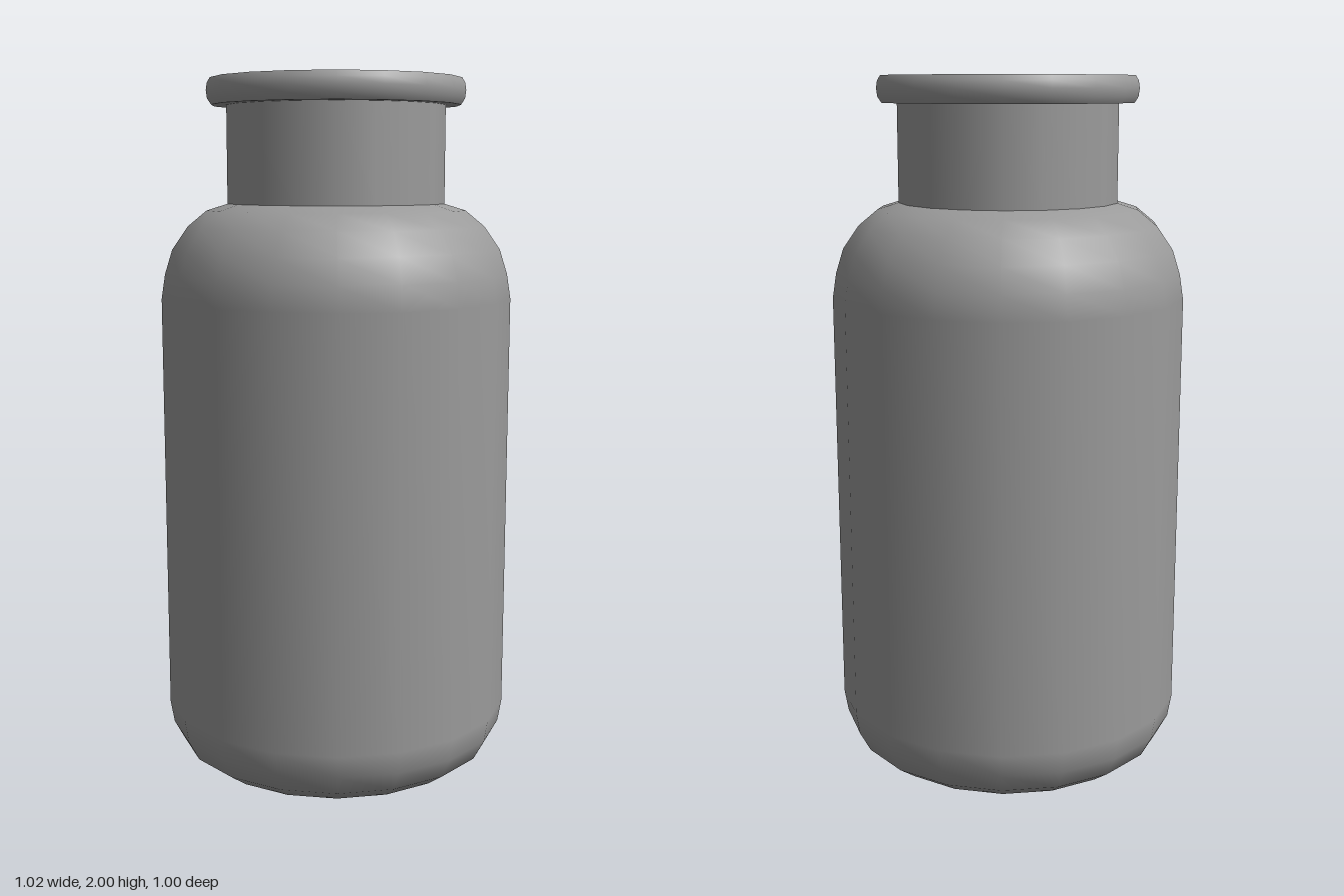
import * as THREE from 'three';

const SIDES = 18;

export function createModel() {
  const model = new THREE.Group();
  model.name = 'bottle';
  const material = new THREE.MeshStandardMaterial({ color: 0x9b9b9b });

  // Each part is one smooth [radius, height] profile; hard edges fall between parts.
  function turned(name, profile) {
    const points = profile.map(([r, y]) => new THREE.Vector2(r, y));
    const mesh = new THREE.Mesh(new THREE.LatheGeometry(points, SIDES, Math.PI / 2), material);
    mesh.name = name;
    model.add(mesh);
  }

  // Outside: base, straight wall and rounded shoulder
  turned('body', [
    [0, 0], [0.41, 0], [0.465, 0.04], [0.497, 0.1], [0.508, 0.165],
    [0.508, 1.38], [0.497, 1.45], [0.475, 1.52], [0.43, 1.585], [0.375, 1.63], [0.31, 1.65],
  ]);
  turned('neck', [[0.315, 1.645], [0.315, 1.925]]);

  // Rolled lip around the mouth
  turned('lipUnderside', [[0.315, 1.925], [0.358, 1.925]]);
  turned('lipEdge', [[0.358, 1.925], [0.369, 1.942], [0.372, 1.965], [0.369, 1.985], [0.36, 2]]);

  // Inside: from the lip's top over the mouth, down the neck and the hollow to the floor
  turned('inside', [
    [0.36, 2], [0.297, 2], [0.29, 1.985], [0.29, 1.63],
    [0.365, 1.605], [0.415, 1.565], [0.455, 1.505], [0.475, 1.44], [0.482, 1.38],
    [0.482, 0.17], [0.472, 0.11], [0.445, 0.06], [0.4, 0.025], [0, 0.025],
  ]);

  return model;
}
